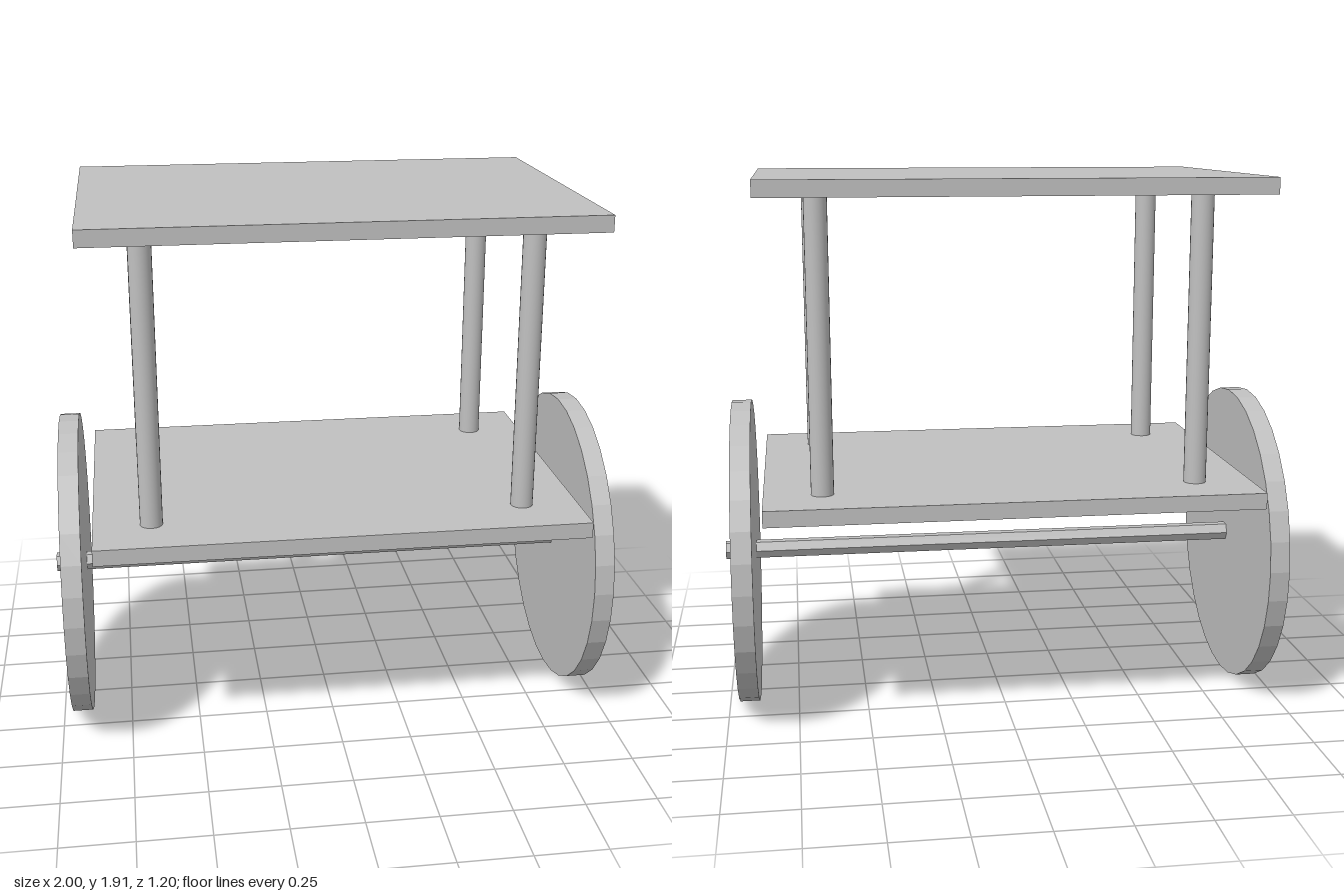
import * as THREE from 'three';

export function createModel() {
  const model = new THREE.Group();
  model.name = 'cart';
  const grey = new THREE.MeshStandardMaterial({ color: 0xc0c0c0 });
  grey.name = 'plain grey';

  const add = (name, geometry, x, y, z) => {
    const mesh = new THREE.Mesh(geometry, grey);
    mesh.name = name;
    mesh.position.set(x, y, z);
    model.add(mesh);
  };

  // Faceted cylinder lying along x
  const faceted = (radius, length, sides) => {
    const g = new THREE.CylinderGeometry(radius, radius, length, sides)
      .rotateZ(Math.PI / 2).toNonIndexed();
    g.computeVertexNormals();
    return g;
  };

  // Roof and deck boards
  add('roof', new THREE.BoxGeometry(1.7, 0.056, 1.2), 0, 1.886, 0);
  add('deck', new THREE.BoxGeometry(1.7, 0.056, 1.2), 0, 0.826, 0);

  // Axle
  const axleY = 0.552;
  add('axle', faceted(0.034, 2, 6), 0, axleY, 0);

  for (const side of [-1, 1]) {
    const label = side > 0 ? 'left' : 'right';
    // Wheel discs
    add(label + 'Wheel', faceted(0.55, 0.07, 32), side * 0.925, axleY, 0);
    // Blocks under the deck
    add(label + 'LargeBlock', new THREE.BoxGeometry(0.6, 0.1, 0.4), side * 0.397, 0.748, 0);
    add(label + 'SmallBlock', new THREE.BoxGeometry(0.12, 0.1, 0.24), side * 0.777, 0.748, 0);
    // Roof posts
    for (const end of [-1, 1]) {
      add(label + (end > 0 ? 'Front' : 'Back') + 'Post',
        new THREE.CylinderGeometry(0.039, 0.039, 1.004, 24), side * 0.65, 1.356, end * 0.4);
    }
  }
  return model;
}
